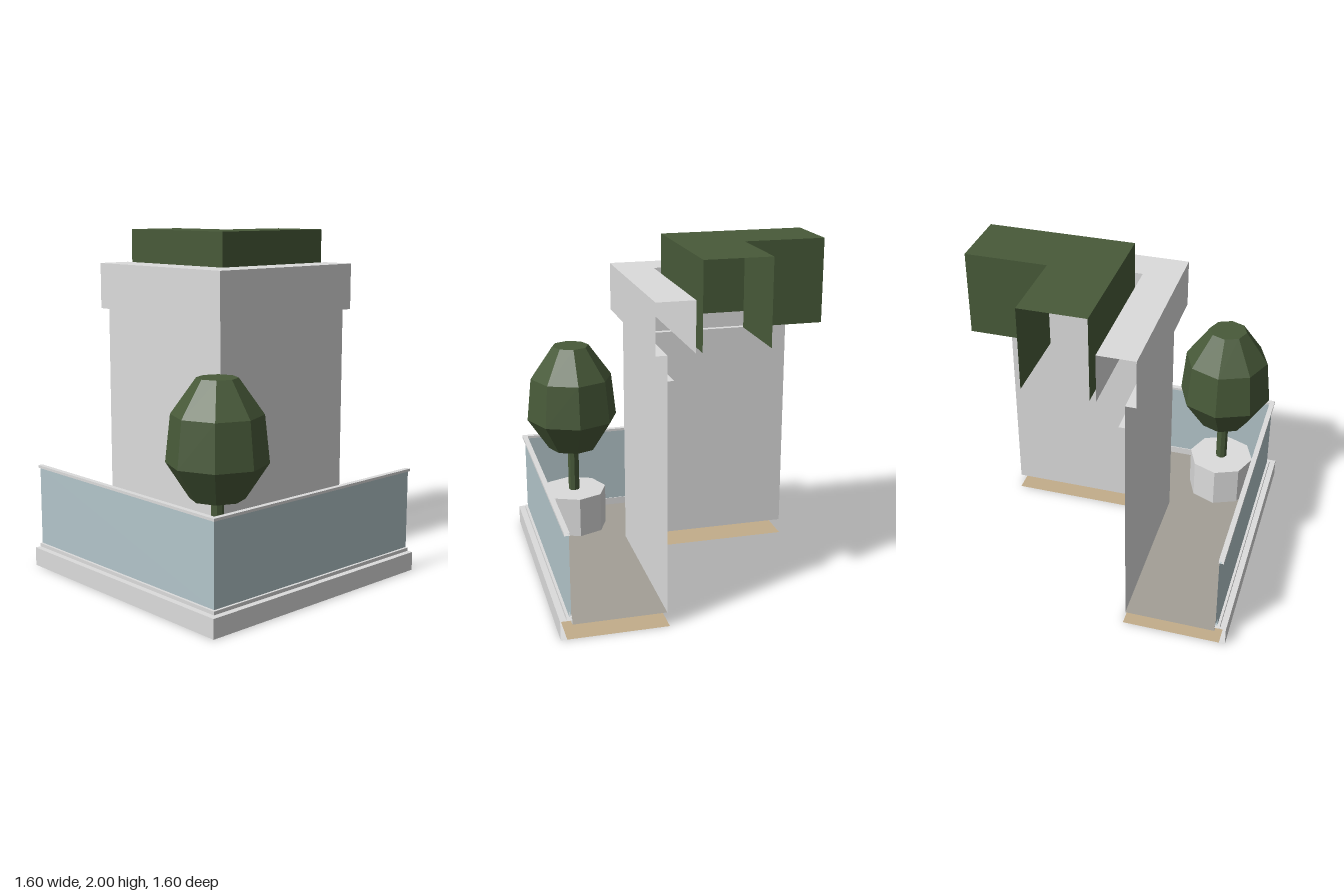
import * as THREE from 'three';

const END = 0.8; // where both arms of the corner are cut off

const material = (name, color) => {
  const m = new THREE.MeshStandardMaterial({ color, side: THREE.DoubleSide });
  m.name = name;
  return m;
};

// Sweeps a profile of [distance, height] points round the mitred corner,
// from the +x end along the front, then back along the -x side.
function sweepCorner(profile) {
  const pos = [];
  const rings = profile.map(([d, y]) => [[END, y, d], [-d, y, d], [-d, y, -END]]);
  for (let i = 0; i < rings.length - 1; i++) {
    for (let j = 0; j < 2; j++) {
      const a = rings[i][j], b = rings[i][j + 1];
      const c = rings[i + 1][j + 1], d = rings[i + 1][j];
      pos.push(...a, ...c, ...b, ...a, ...d, ...c);
    }
  }
  const g = new THREE.BufferGeometry();
  g.setAttribute('position', new THREE.Float32BufferAttribute(pos, 3));
  g.computeVertexNormals();
  return g;
}

// Closed rectangular profile
const bar = (outer, inner, y0, y1) =>
  [[outer, y0], [outer, y1], [inner, y1], [inner, y0], [outer, y0]];

// Faceted eight-sided frustum
function octagon(rTop, rBottom, y0, y1, open = false) {
  const g = new THREE.CylinderGeometry(rTop, rBottom, y1 - y0, 8, 1, open)
    .translate(0, (y0 + y1) / 2, 0).toNonIndexed();
  g.computeVertexNormals();
  return g;
}

export function createModel() {
  const root = new THREE.Group();
  root.name = 'roofCorner';

  const stone = material('pale grey', 0xdcdcdc);
  const paving = material('warm grey paving', 0xa39f96);
  const soffit = material('tan underside', 0xc3ad8a);
  const glass = material('blue grey glass', 0xb3c5ca);
  const leaf = material('dark green', 0x485a39);

  const add = (parent, name, geometry, mat) => {
    const mesh = new THREE.Mesh(geometry, mat);
    mesh.name = name;
    parent.add(mesh);
  };

  // Terrace, wall, balustrade, parapet and hedge all follow the corner
  const strips = [
    ['underside', [[0.765, 0], [0.2, 0]], soffit],
    ['terraceFloor', [[0.735, 0.085], [0.215, 0.085]], paving],
    ['terraceKerb', [[0.765, 0], [0.8, 0], [0.8, 0.11], [0.735, 0.11], [0.735, 0.085]], stone],
    ['bottomRail', bar(0.765, 0.735, 0.11, 0.13), stone],
    ['glassPanel', bar(0.75, 0.74, 0.13, 0.6), glass],
    ['topRail', bar(0.765, 0.735, 0.6, 0.615), stone],
    ['wall', [[0.215, 0.085], [0.215, 1.525]], stone],
    ['wallLedge', [[0.215, 1.39], [0.18, 1.39]], stone],
    ['parapet', [[0.215, 1.525], [0.275, 1.525], [0.275, 1.8], [0.065, 1.8], [0.065, 1.525]], stone],
    ['hedge', [[0.03, 1.525], [0.03, 2], [-0.34, 2], [-0.34, 1.525]], leaf],
  ];
  for (const [name, profile, mat] of strips) add(root, name, sweepCorner(profile), mat);

  // Potted tree in the corner
  const tree = new THREE.Group();
  tree.name = 'pottedTree';
  tree.position.set(-0.485, 0, 0.485);
  add(tree, 'planter', octagon(0.2, 0.2, 0.085, 0.33), stone);
  add(tree, 'trunk', octagon(0.034, 0.034, 0.32, 0.63), leaf);

  // Crown: stacked faceted rings closed by a bottom and a top disc
  const crown = [[0.15, 0.615], [0.278, 0.81], [0.25, 1.07], [0.112, 1.265]];
  for (let i = 0; i < crown.length - 1; i++) {
    const [r0, y0] = crown[i], [r1, y1] = crown[i + 1];
    add(tree, 'crownRing' + (i + 1), octagon(r1, r0, y0, y1, true), leaf);
  }
  for (const [name, [r, y], tilt] of [['crownBottom', crown[0], 1], ['crownTop', crown[3], -1]]) {
    add(tree, name, new THREE.CircleGeometry(r, 8).rotateX(tilt * Math.PI / 2).translate(0, y, 0), leaf);
  }
  root.add(tree);

  return root;
}
